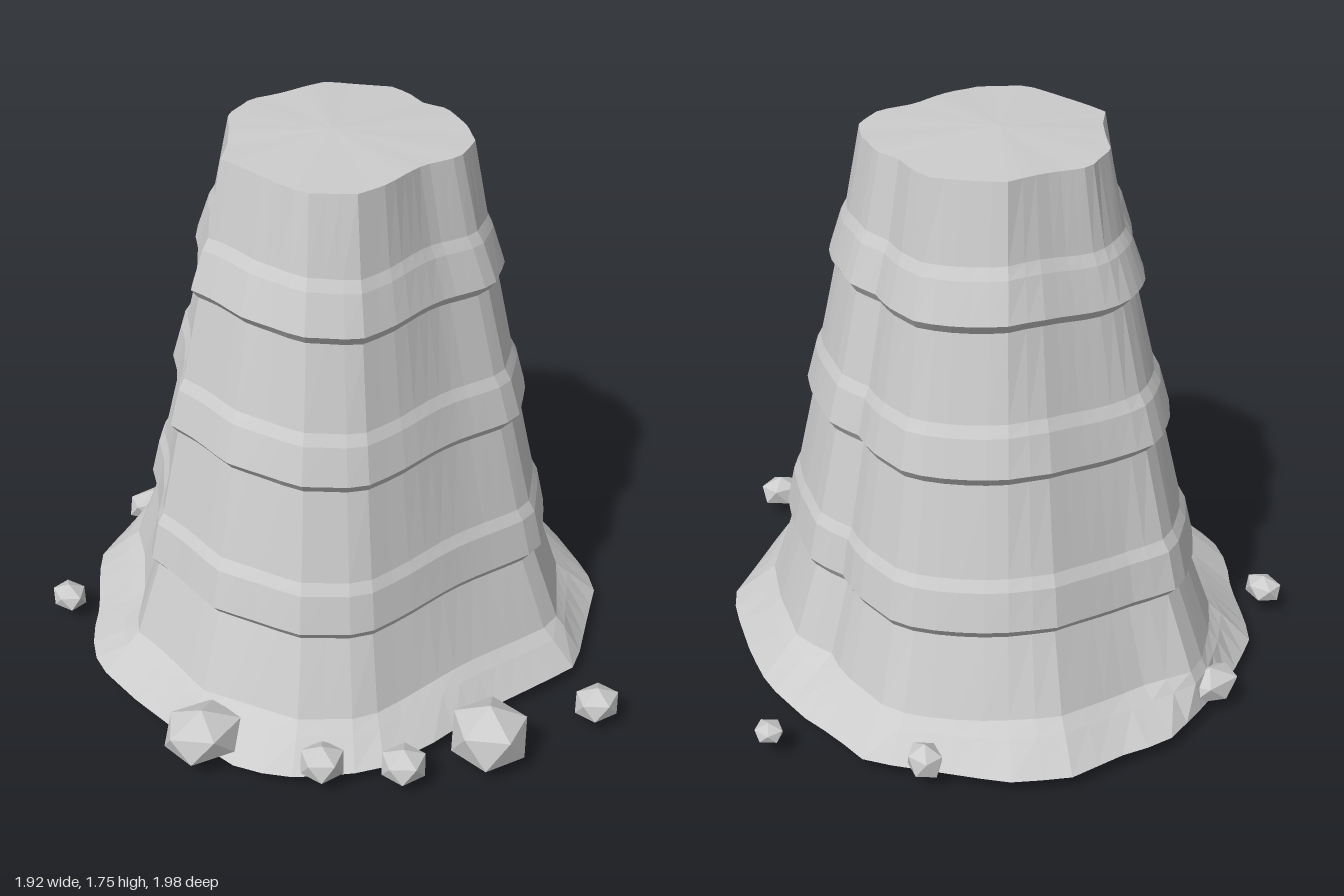
import * as THREE from 'three';

const CX = -0.06, CZ = -0.09, SIDES = 64;

// Plan outlines (x, z pairs) of the skirt rim, the foot of the wall and the summit
const RIM = [-0.12, -1, 0, -0.98, 0.22, -0.99, 0.38, -0.92, 0.45, -0.86, 0.58, -0.74, 0.71, -0.62,
  0.74, -0.47, 0.78, -0.34, 0.81, -0.13, 0.79, 0.05, 0.75, 0.24, 0.71, 0.39, 0.58, 0.51, 0.38, 0.7,
  0.24, 0.71, 0, 0.72, -0.24, 0.76, -0.45, 0.77, -0.66, 0.67, -0.79, 0.55, -0.88, 0.26, -0.92, 0.08,
  -0.95, -0.14, -0.9, -0.29, -0.81, -0.43, -0.73, -0.61, -0.67, -0.71, -0.5, -0.83, -0.29, -0.93];
const FOOT = [-0.33, -0.89, -0.13, -0.86, 0.2, -0.88, 0.37, -0.79, 0.5, -0.69, 0.61, -0.58, 0.65, -0.34,
  0.63, -0.2, 0.7, -0.13, 0.65, 0.13, 0.58, 0.34, 0.37, 0.61, 0, 0.63, -0.42, 0.67, -0.61, 0.57,
  -0.79, 0.29, -0.81, 0.03, -0.83, -0.11, -0.71, -0.29, -0.63, -0.45, -0.58, -0.61, -0.5, -0.72];
const SUMMIT = [-0.12, -0.49, 0, -0.48, 0.16, -0.49, 0.26, -0.4, 0.32, -0.34, 0.33, -0.26, 0.32, -0.16,
  0.35, -0.08, 0.32, 0.08, 0.27, 0.19, 0.16, 0.27, 0.03, 0.27, -0.13, 0.33, -0.24, 0.34, -0.37, 0.26,
  -0.4, 0.13, -0.44, -0.09, -0.37, -0.18, -0.31, -0.28, -0.25, -0.4, -0.16, -0.46];

// Radii of an outline at evenly spaced angles about the axis
function radii(outline) {
  const out = [];
  for (let i = 0; i < SIDES; i++) {
    const a = (i / SIDES) * Math.PI * 2, dx = Math.cos(a), dz = Math.sin(a);
    let r = 0;
    for (let k = 0; k < outline.length; k += 2) {
      const n = (k + 2) % outline.length;
      const px = outline[k] - CX, pz = outline[k + 1] - CZ;
      const ex = outline[n] - CX - px, ez = outline[n + 1] - CZ - pz;
      const det = dx * ez - dz * ex;
      if (Math.abs(det) < 1e-9) continue;
      const t = (px * ez - pz * ex) / det, s = (px * dz - pz * dx) / det;
      if (t > 0 && s >= -1e-6 && s <= 1 + 1e-6) r = Math.max(r, t);
    }
    out.push(r);
  }
  return out;
}

// Triangles between successive rings; a ring of radius zero is a cap centre
function loft(rings) {
  const pos = [];
  const tri = (a, b, c) => {
    const n = b.clone().sub(a).cross(c.clone().sub(a));
    if (n.lengthSq() > 1e-14) for (const p of [a, b, c]) pos.push(p.x, p.y, p.z);
  };
  for (let j = 0; j + 1 < rings.length; j++) {
    for (let i = 0; i < SIDES; i++) {
      const n = (i + 1) % SIDES, lo = rings[j], hi = rings[j + 1];
      tri(lo[i], hi[i], lo[n]);
      tri(hi[i], hi[n], lo[n]);
    }
  }
  const g = new THREE.BufferGeometry();
  g.setAttribute('position', new THREE.Float32BufferAttribute(pos, 3));
  g.computeVertexNormals();
  return g;
}

export function createModel() {
  const group = new THREE.Group();
  const stone = new THREE.MeshStandardMaterial({ color: 0xcccccc, flatShading: true });
  stone.name = 'pale grey stone';

  const rim = radii(RIM), foot = radii(FOOT), summit = radii(SUMMIT);
  const ring = (y, radius, wobble = 0) => Array.from({ length: SIDES }, (_, i) => {
    const a = (i / SIDES) * Math.PI * 2, r = radius(i);
    const dy = wobble * (Math.sin(5 * a + 1) + 0.6 * Math.sin(9 * a));
    return new THREE.Vector3(CX + r * Math.cos(a), y + dy, CZ + r * Math.sin(a));
  });
  // Wall ring with the given half width, blended between foot and summit
  const wallRing = (y, w, wobble = 0.006) => {
    const t = (0.76 - w) / (0.76 - 0.395);
    return ring(y, (i) => foot[i] + (summit[i] - foot[i]) * t, wobble);
  };
  const add = (name, geometry) => {
    const m = new THREE.Mesh(geometry, stone);
    m.name = name;
    group.add(m);
  };

  // Flared skirt with a flat underside
  add('skirt', loft([
    ring(0.05, () => 0), ring(0.05, (i) => rim[i]),
    ring(0.135, (i) => rim[i] * 0.25 + foot[i] * 0.75, 0.005), wallRing(0.17, 0.75),
  ]));

  // Wall segments and the raised rock bands between them
  const walls = [[0.17, 0.75, 0.41, 0.665], [0.595, 0.64, 0.875, 0.575],
    [1.055, 0.545, 1.315, 0.485], [1.5, 0.445, 1.735, 0.395]];
  walls.forEach(([y0, w0, y1, w1], k) => {
    add('wall' + (k + 1), loft([wallRing(y0, w0), wallRing(y1, w1, k === 3 ? 0.002 : 0.006)]));
    if (k === 3) return;
    const [y3, w3] = walls[k + 1];
    add('band' + (k + 1), loft([
      wallRing(y1, w1), wallRing(y1 + 0.03, w1 + 0.022),
      wallRing(y3 - 0.035, w3 + 0.02), wallRing(y3, w3),
    ]));
  });

  // Slightly domed summit
  add('summit', loft([wallRing(1.735, 0.395, 0.002), ring(1.75, () => 0)]));

  // Loose boulders: x, y, z, then half sizes
  const boulders = [
    [-0.84, 0.115, 0.4, 0.125, 0.085, 0.11], [-0.1, 0.11, 0.87, 0.122, 0.11, 0.122],
    [0.29, 0.085, 0.91, 0.075, 0.058, 0.065], [-0.38, 0.085, 0.82, 0.072, 0.056, 0.07],
    [-0.585, 0.09, 0.685, 0.07, 0.06, 0.07], [0.915, 0.08, -0.38, 0.045, 0.03, 0.05],
    [0.575, 0.09, -0.745, 0.052, 0.058, 0.062], [-0.385, 0.085, -0.86, 0.105, 0.058, 0.07],
    [-0.885, 0.075, -0.51, 0.055, 0.045, 0.068],
  ];
  boulders.forEach(([x, y, z, sx, sy, sz], k) => {
    const g = new THREE.IcosahedronGeometry(1, 0);
    g.rotateZ(Math.atan(2 / (1 + Math.sqrt(5)))); // stands on a corner
    g.rotateY(k * 1.3 + 0.2);
    g.scale(sx * 1.08, sy, sz * 1.08);
    g.translate(x, y, z);
    add('boulder' + (k + 1), g);
  });
  return group;
}
